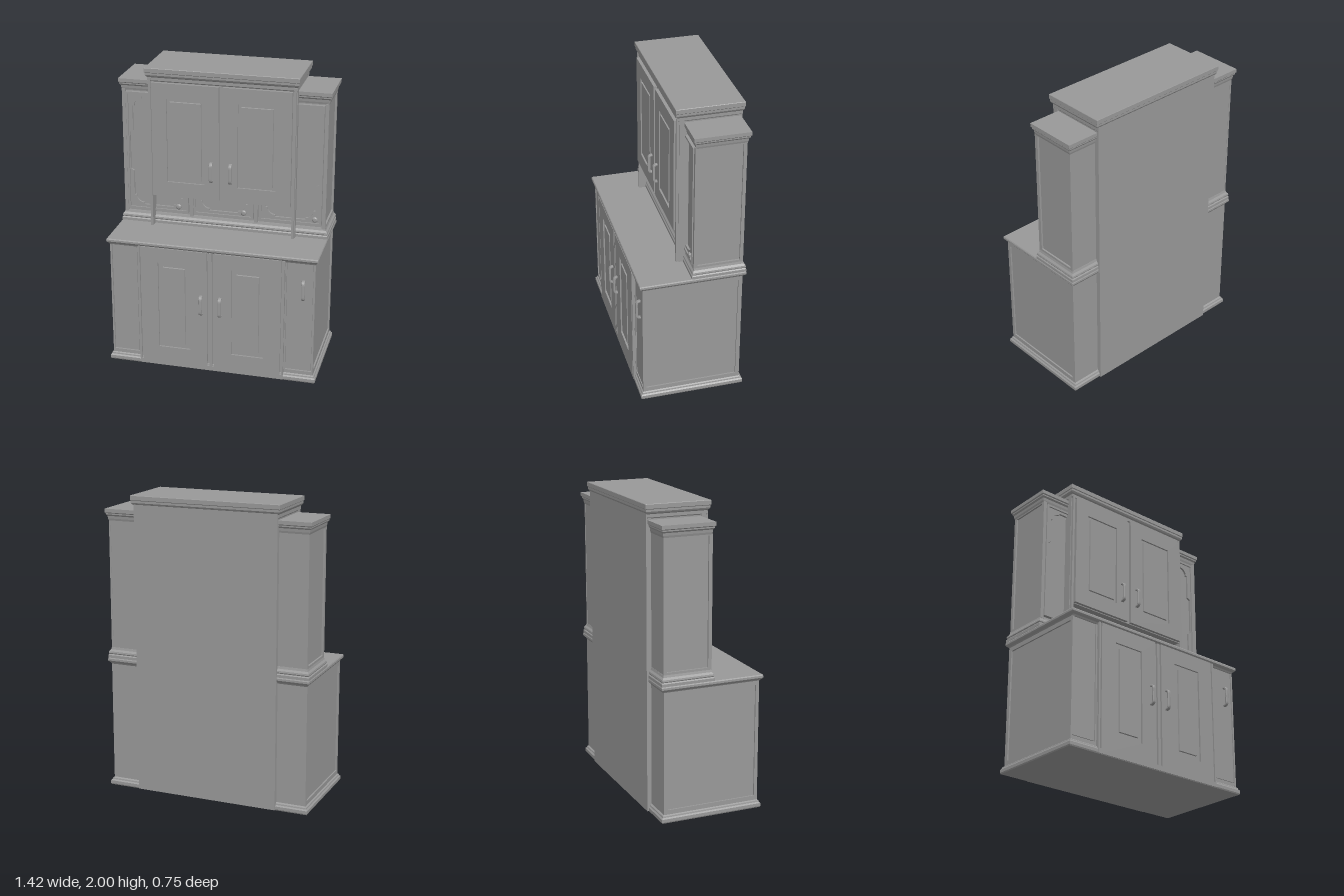
import * as THREE from 'three';

const mat = new THREE.MeshStandardMaterial({ color: 0x999999, flatShading: true, side: THREE.DoubleSide });

function add(parent, name, geo, x = 0, y = 0, z = 0) {
  const m = new THREE.Mesh(geo, mat);
  m.name = name;
  m.position.set(x, y, z);
  parent.add(m);
  return m;
}

// Box given by its limits
function box(parent, name, x0, x1, y0, y1, z0, z1) {
  return add(parent, name, new THREE.BoxGeometry(x1 - x0, y1 - y0, z1 - z0), (x0 + x1) / 2, (y0 + y1) / 2, (z0 + z1) / 2);
}

// Rectangular moulding: profile is a list of [outward offset, y], bottom to top
function moulding(parent, name, x0, x1, z0, z1, profile) {
  const pos = [], idx = [];
  for (const [o, y] of profile)
    pos.push(x0 - o, y, z1 + o, x1 + o, y, z1 + o, x1 + o, y, z0 - o, x0 - o, y, z0 - o);
  for (let i = 0; i < profile.length - 1; i++)
    for (let k = 0; k < 4; k++) {
      const a = i * 4 + k, b = i * 4 + (k + 1) % 4;
      idx.push(a, b, b + 4, a, b + 4, a + 4);
    }
  const t = (profile.length - 1) * 4;
  idx.push(0, 2, 1, 0, 3, 2, t, t + 1, t + 2, t, t + 2, t + 3);
  const g = new THREE.BufferGeometry();
  g.setAttribute('position', new THREE.Float32BufferAttribute(pos, 3));
  g.setIndex(idx);
  const flat = g.toNonIndexed();
  flat.computeVertexNormals();
  return add(parent, name, flat);
}

function rect(C, x0, x1, y0, y1) {
  return new C([[x0, y0], [x1, y0], [x1, y1], [x0, y1]].map(p => new THREE.Vector2(...p)));
}

// Flat frame in the xy plane with a rectangular opening
function frameGeo([x0, x1, y0, y1], [a0, a1, b0, b1], depth) {
  const s = rect(THREE.Shape, x0, x1, y0, y1);
  s.holes.push(rect(THREE.Path, a0, a1, b0, b1));
  return new THREE.ExtrudeGeometry(s, { depth, bevelEnabled: false });
}

// Door: frame, sunk panel and raised field set in by a margin; z is the front face
function panelDoor(parent, name, outer, inner, margin, z, t) {
  const g = new THREE.Group();
  g.name = name;
  parent.add(g);
  add(g, 'doorFrame', frameGeo(outer, inner, t), 0, 0, z - t);
  const [a, b, c, d] = inner;
  box(g, 'sunkPanel', a, b, c, d, z - t, z - 0.012);
  const field = moulding(g, 'raisedField', a + margin, b - margin, margin - d, -c - margin, [[0, 0], [-0.002, 0.01]]);
  field.rotation.x = Math.PI / 2;
  field.position.z = z - 0.012;
}

// Rounded bow handle
function handle(parent, x, y, z) {
  const bow = (C, h, a, b, r) => {
    const p = new C();
    p.moveTo(a, -h);
    p.lineTo(b - r, -h);
    p.quadraticCurveTo(b, -h, b, -h + r);
    p.lineTo(b, h - r);
    p.quadraticCurveTo(b, h, b - r, h);
    p.lineTo(a, h);
    p.closePath();
    return p;
  };
  const s = bow(THREE.Shape, 0.066, -0.01, 0.028, 0.026);
  s.holes.push(bow(THREE.Path, 0.06, -0.006, 0.022, 0.02));
  const geo = new THREE.ExtrudeGeometry(s, {
    depth: 0.014, bevelThickness: 0.004, bevelSize: 0.004, bevelSegments: 2, curveSegments: 6,
  });
  geo.rotateY(-Math.PI / 2);
  add(parent, 'handle', geo, x + 0.007, y, z);
}

// Outline with scooped corners and a step in each long side
function scooped(C, w, h, step, stepH, r) {
  const quarter = [[w + step, stepH], [w, stepH + 0.012], [w, h - r]];
  for (let i = 0; i <= 5; i++) {
    const a = (i / 5) * Math.PI / 2;
    quarter.push([w - 0.012 - (r - 0.012) * (1 - Math.cos(a)), h - r + (r - 0.012) * Math.sin(a)]);
  }
  quarter.push([w - r, h]);
  const flip = (sx, sy) => quarter.map(([x, y]) => new THREE.Vector2(sx * x, sy * y));
  return new C([...flip(1, 1), ...flip(-1, 1).reverse(), ...flip(-1, -1), ...flip(1, -1).reverse()]);
}

// Tall panel with a border and a scooped inner trim
function fancyPanel(parent, name, cx, w) {
  const g = new THREE.Group();
  const h = 0.412;
  g.name = name;
  g.position.set(cx, 1.4, 0);
  parent.add(g);
  add(g, 'border', frameGeo([-w, w, -h, h], [-w + 0.014, w - 0.014, -h + 0.014, h - 0.014], 0.024), 0, 0, -0.026);
  const s = rect(THREE.Shape, -w + 0.014, w - 0.014, -h + 0.014, h - 0.014);
  s.holes.push(scooped(THREE.Path, w - 0.042, h - 0.032, 0.022, 0.13, 0.065));
  add(g, 'scoopedTrim', new THREE.ExtrudeGeometry(s, { depth: 0.016, bevelEnabled: false }), 0, 0, -0.028);
}

function knob(parent, x, y) {
  const pts = [[0, 0], [0.009, 0], [0.009, 0.018], [0.019, 0.023], [0.019, 0.029], [0.012, 0.034], [0, 0.035]];
  const geo = new THREE.LatheGeometry(pts.map(p => new THREE.Vector2(...p)), 12);
  geo.rotateX(Math.PI / 2);
  add(parent, 'knob', geo, x, y, -0.026);
}

export function createModel() {
  const root = new THREE.Group();
  root.name = 'cabinet';
  const group = name => {
    const g = new THREE.Group();
    g.name = name;
    root.add(g);
    return g;
  };

  // Lower cabinet: carcass, plinth and worktop
  const base = group('baseCabinet');
  box(base, 'carcass', -0.682, 0.682, 0.01, 0.88, -0.332, 0.312);
  moulding(base, 'plinth', -0.69, 0.69, -0.332, 0.322,
    [[0.016, 0], [0.02, 0.008], [0.02, 0.028], [0.012, 0.036], [0.01, 0.045], [0, 0.052]]);
  moulding(base, 'worktop', -0.69, 0.69, -0.332, 0.325,
    [[0, 0.855], [0.006, 0.865], [0.014, 0.872], [0.02, 0.88], [0.02, 0.893], [0.016, 0.9]]);
  box(base, 'centreFront', -0.495, 0.495, 0.004, 0.87, 0.3, 0.33);
  box(base, 'centreStile', -0.01, 0.01, 0.036, 0.866, 0.328, 0.344);
  box(base, 'centreSkirt', -0.024, 0.024, 0.004, 0.036, 0.328, 0.344);
  for (const s of [-1, 1]) {
    const span = (a, b) => (s > 0 ? [a, b] : [-b, -a]);
    panelDoor(base, 'baseDoor', [...span(0.024, 0.472), 0.004, 0.868], [...span(0.142, 0.358), 0.143, 0.765], 0.032, 0.344, 0.018);
    box(base, 'cornerStile', ...span(0.482, 0.494), 0.004, 0.868, 0.328, 0.344);
    box(base, 'cornerSkirt', ...span(0.472, 0.482), 0.004, 0.036, 0.328, 0.344);
    handle(base, s * 0.065, 0.488, 0.343);
    // Narrow side door with its surround
    add(base, 'sideDoorSurround', frameGeo([...span(0.495, 0.692), 0.05, 0.865], [...span(0.504, 0.682), 0.075, 0.858], 0.016), 0, 0, 0.308);
    box(base, 'sideDoor', ...span(0.508, 0.677), 0.08, 0.854, 0.308, 0.32);
    // Framed end panel
    const end = add(base, 'endFrame', frameGeo([-0.325, 0.332, 0.05, 0.862], [-0.302, 0.306, 0.08, 0.83], 0.012), s > 0 ? 0.68 : -0.692);
    end.rotation.y = Math.PI / 2;
  }
  handle(base, 0.615, 0.667, 0.32);

  // Upper wings running behind the centre cupboard
  const upper = group('upperWings');
  box(upper, 'carcass', -0.678, 0.678, 0.9, 1.88, -0.33, -0.026);
  moulding(upper, 'footMoulding', -0.69, 0.69, -0.332, -0.012,
    [[0.018, 0.9], [0.018, 0.918], [0.012, 0.925], [0.016, 0.932], [0.014, 0.943], [0.004, 0.955], [0, 0.97]]);
  moulding(upper, 'cornice', -0.69, 0.69, -0.332, -0.015,
    [[0, 1.822], [0.004, 1.835], [0.006, 1.852], [0.014, 1.862], [0.014, 1.87], [0.02, 1.876], [0.02, 1.9]]);
  for (const s of [-1, 1]) {
    fancyPanel(upper, 'sidePanel', s * 0.453, 0.21);
    for (const x of [0.222, 0.678])
      box(upper, 'frontStile', s * x - 0.012, s * x + 0.012, 0.965, 1.825, -0.03, -0.008);
    const end = add(upper, 'endFrame', frameGeo([0.01, 0.332, 0.96, 1.83], [0.032, 0.31, 0.985, 1.815], 0.012), s > 0 ? 0.678 : -0.69);
    end.rotation.y = Math.PI / 2;
  }
  fancyPanel(upper, 'middlePanel', 0, 0.205);
  for (const x of [-0.31, 0.14, 0.62]) knob(upper, x, 1.03);

  // Centre cupboard with cheeks reaching down to the worktop
  const centre = group('centreCupboard');
  box(centre, 'carcass', -0.488, 0.488, 1.12, 1.96, -0.35, 0.042);
  box(centre, 'backPanel', -0.492, 0.492, 0.004, 1.96, -0.362, -0.33);
  for (const s of [-1, 1]) {
    const span = (a, b) => (s > 0 ? [a, b] : [-b, -a]);
    box(centre, 'cheek', ...span(0.474, 0.49), 0.9, 1.93, -0.33, 0.053);
    box(centre, 'cheekStrip', ...span(0.488, 0.495), 0.9, 1.93, 0.005, 0.036);
    panelDoor(centre, 'upperDoor', [...span(0.014, 0.466), 1.125, 1.905], [...span(0.112, 0.366), 1.228, 1.803], 0.02, 0.063, 0.021);
    handle(centre, s * 0.065, 1.323, 0.062);
  }
  moulding(centre, 'crown', -0.49, 0.49, -0.352, 0.042,
    [[0, 1.908], [0.005, 1.915], [0.005, 1.935], [0.012, 1.942], [0.018, 1.952], [0.018, 1.966], [0.022, 1.97], [0.022, 1.997], [0.02, 2]]);
  return root;
}
